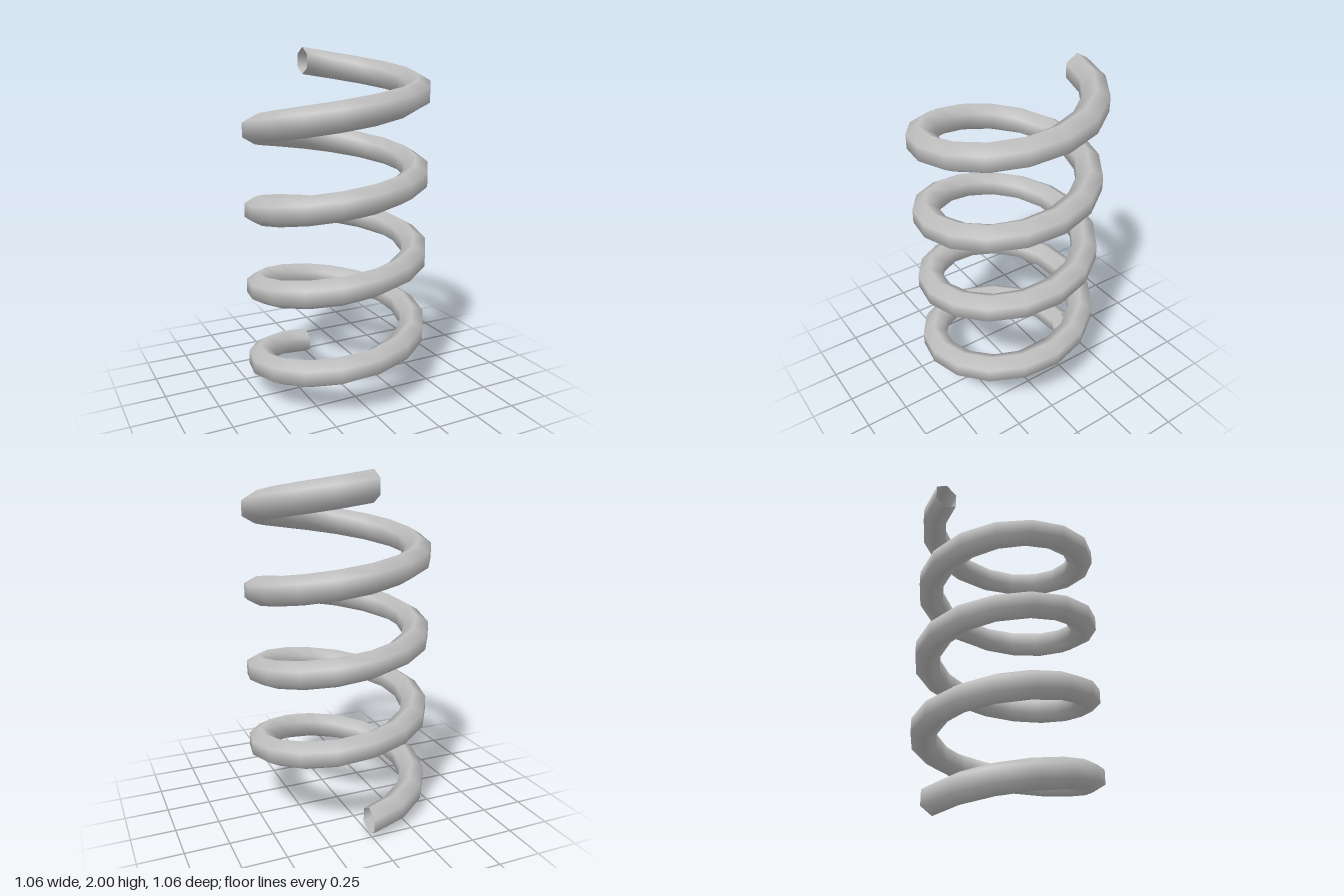
import * as THREE from 'three';

const TURNS = 4, STEPS_PER_TURN = 16, SIDES = 6;
const COIL_RADIUS = 0.46, WIRE_RADIUS = 0.081;
const Y_START = WIRE_RADIUS, Y_END = 2 - WIRE_RADIUS;

// Bends an open six-sided tube into a helix that starts and ends at the back.
function coilGeometry() {
  const geometry = new THREE.CylinderGeometry(1, 1, 1, SIDES, TURNS * STEPS_PER_TURN, true);
  const pos = geometry.attributes.position;
  const nor = geometry.attributes.normal;
  for (let i = 0; i < pos.count; i++) {
    const t = pos.getY(i) + 0.5;
    const angle = t * TURNS * Math.PI * 2;
    const outX = -Math.sin(angle), outZ = -Math.cos(angle);
    // section coordinates: across = away from the axis, up = along the axis
    const across = pos.getX(i), up = pos.getZ(i);
    const radius = COIL_RADIUS + across * WIRE_RADIUS;
    pos.setXYZ(i, outX * radius, Y_START + t * (Y_END - Y_START) + up * WIRE_RADIUS, outZ * radius);
    nor.setXYZ(i, outX * across, up, outZ * across);
  }
  return geometry;
}

export function createModel() {
  const group = new THREE.Group();
  group.name = 'coilSpring';
  const steel = new THREE.MeshStandardMaterial({ color: 0xc0c0c0, side: THREE.DoubleSide });
  steel.name = 'steel grey';
  const coil = new THREE.Mesh(coilGeometry(), steel);
  coil.name = 'coil';
  group.add(coil);
  return group;
}
